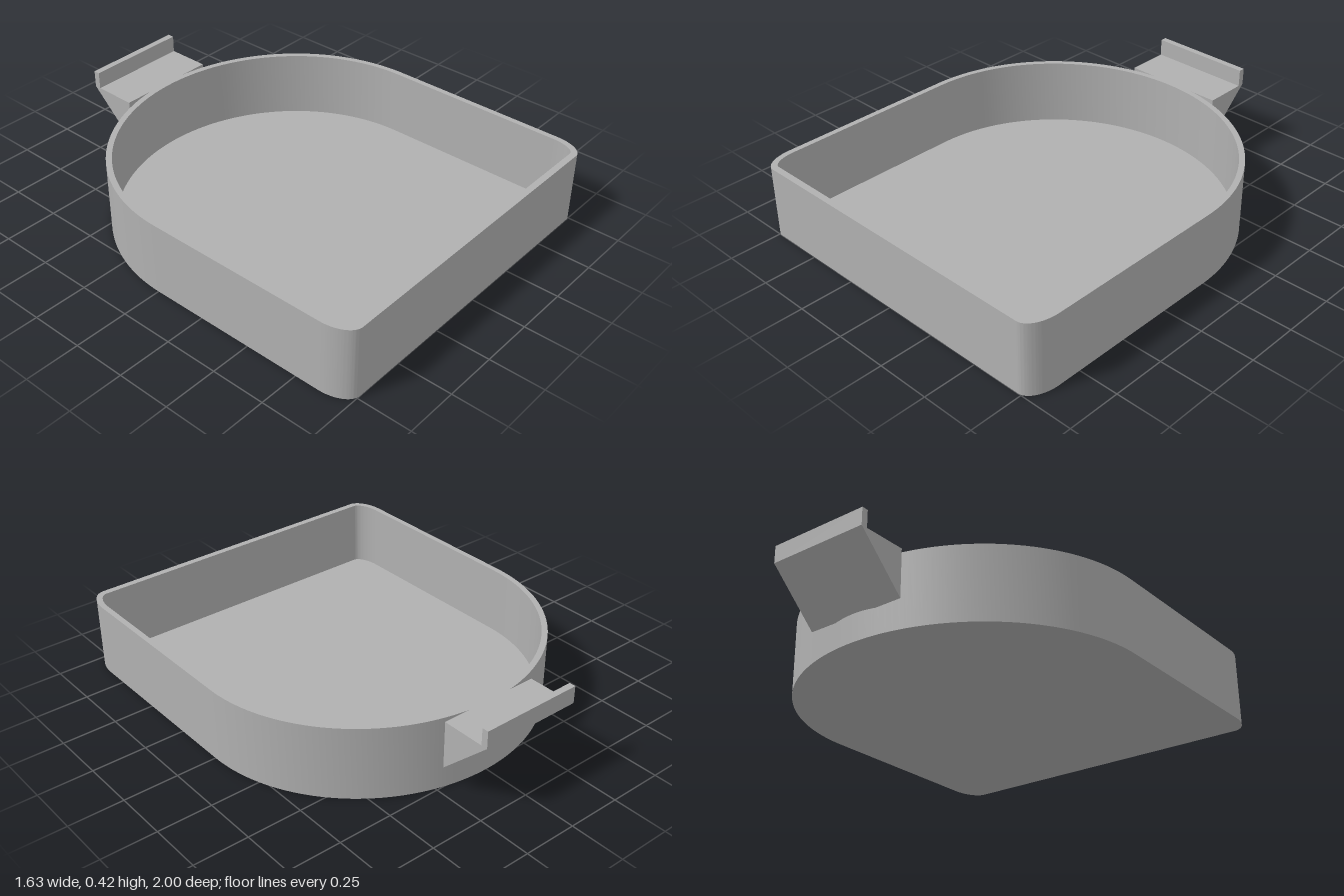
import * as THREE from 'three';
import { toCreasedNormals } from 'three/addons/utils/BufferGeometryUtils.js';

const HEIGHT = 0.34, FLOOR = 0.025;

// Tray plan: straight front with rounded corners, semi-elliptical back (shape y = -z)
function outline(path, halfWidth, back, front, cornerX, cornerZ) {
  const cx = halfWidth - cornerX, cy = -front + cornerZ;
  path.moveTo(halfWidth, 0);
  path.absellipse(0, 0, halfWidth, back, 0, Math.PI, false, 0);
  path.lineTo(-halfWidth, cy);
  path.absellipse(-cx, cy, cornerX, cornerZ, Math.PI, Math.PI * 1.5, false, 0);
  path.lineTo(cx, -front);
  path.absellipse(cx, cy, cornerX, cornerZ, Math.PI * 1.5, Math.PI * 2, false, 0);
  path.lineTo(halfWidth, 0);
  return path;
}

const inner = (path) => outline(path, 0.787, 0.75, 0.97, 0.055, 0.115);

// Extrude a plan upwards from y = 0 with smooth curved sides
function extrudeUp(shape, depth) {
  const geometry = new THREE.ExtrudeGeometry(shape, { depth, bevelEnabled: false, curveSegments: 40 });
  geometry.rotateX(-Math.PI / 2);
  return toCreasedNormals(geometry, 0.5);
}

export function createModel() {
  const group = new THREE.Group();
  const grey = new THREE.MeshStandardMaterial({ color: 0xb0b0b0 });
  grey.name = 'grey';

  const add = (name, geometry) => {
    const mesh = new THREE.Mesh(geometry, grey);
    mesh.name = name;
    group.add(mesh);
  };

  // Thin wall around the tray
  const wall = outline(new THREE.Shape(), 0.813, 0.777, 1, 0.08, 0.14);
  wall.holes.push(inner(new THREE.Path()));
  add('wall', extrudeUp(wall, HEIGHT));

  // Flat floor inside the wall
  add('floor', extrudeUp(inner(new THREE.Shape()), FLOOR));

  // Wedge-shaped hook with an upright lip, profile drawn as (-z, y)
  const profile = new THREE.Shape([
    [0.77, 0.12], [1, HEIGHT], [1, 0.42], [0.97, 0.42], [0.97, HEIGHT], [0.77, HEIGHT],
  ].map(([x, y]) => new THREE.Vector2(x, y)));
  const hook = new THREE.ExtrudeGeometry(profile, { depth: 0.48, bevelEnabled: false });
  hook.translate(0, 0, -0.24);
  hook.rotateY(Math.PI / 2);
  add('hook', hook);

  return group;
}
